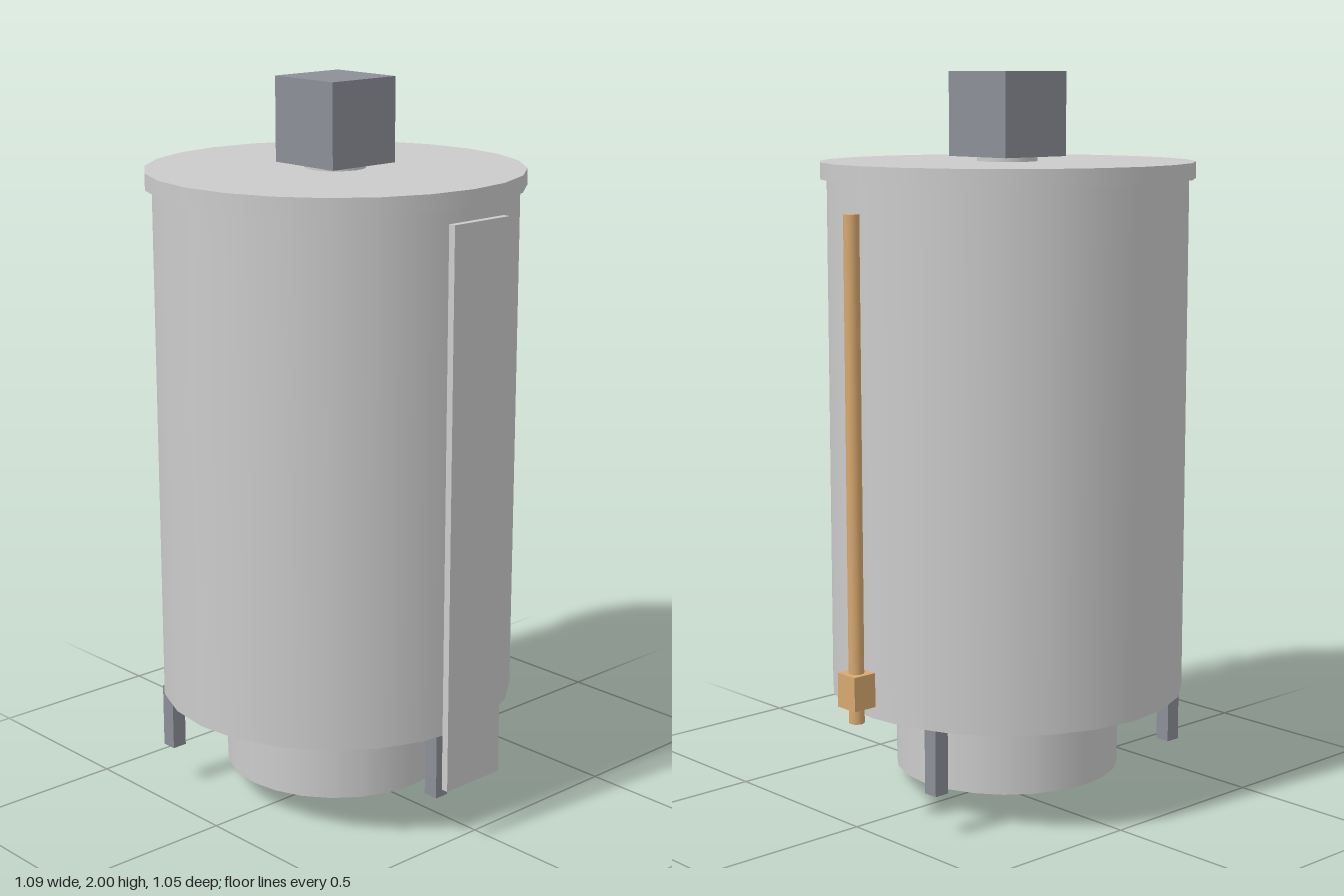
import * as THREE from 'three';

const CX = -0.037, CZ = -0.017; // vessel axis

const grey = new THREE.MeshStandardMaterial({ color: 0xcccccc });
const dark = new THREE.MeshStandardMaterial({ color: 0x8d8f98 });
const brass = new THREE.MeshStandardMaterial({ color: 0xd8a970 });

export function createModel() {
  const model = new THREE.Group();
  model.name = 'storageTank';

  const add = (name, geometry, material, x, y, z) => {
    const mesh = new THREE.Mesh(geometry, material);
    mesh.name = name;
    mesh.position.set(x, y, z);
    model.add(mesh);
  };
  // upright cylinder between two heights
  const drum = (name, r, y0, y1, material = grey, x = CX, z = CZ, sides = 24) =>
    add(name, new THREE.CylinderGeometry(r, r, y1 - y0, sides), material, x, (y0 + y1) / 2, z);
  // upright box between two heights
  const block = (name, w, d, y0, y1, material, x, z) =>
    add(name, new THREE.BoxGeometry(w, y1 - y0, d), material, x, (y0 + y1) / 2, z);

  // Vessel, from the outlet up to the motor
  drum('outlet', 0.042, 0, 0.075);
  drum('lowerDrum', 0.312, 0.075, 0.297);
  drum('body', 0.492, 0.297, 1.715);
  drum('lid', 0.51, 1.715, 1.76);
  drum('neck', 0.082, 1.76, 1.775);
  block('motor', 0.224, 0.224, 1.773, 2, dark, CX, CZ);

  // Three legs around the axis
  for (let i = 0; i < 3; i++) {
    const a = THREE.MathUtils.degToRad(97 + i * 120);
    block('leg', 0.043, 0.043, 0.118, 0.297, dark, CX + 0.462 * Math.cos(a), CZ + 0.462 * Math.sin(a));
  }

  // Flat panel standing off the front
  block('frontPanel', 0.196, 0.02, 0.165, 1.685, grey, CX, 0.514);

  // Side gauge pipe with its valve
  drum('gaugePipe', 0.021, 0.297, 1.64, brass, 0.509, CZ, 12);
  block('gaugeValve', 0.07, 0.07, 0.34, 0.433, brass, 0.509, CZ);

  return model;
}
